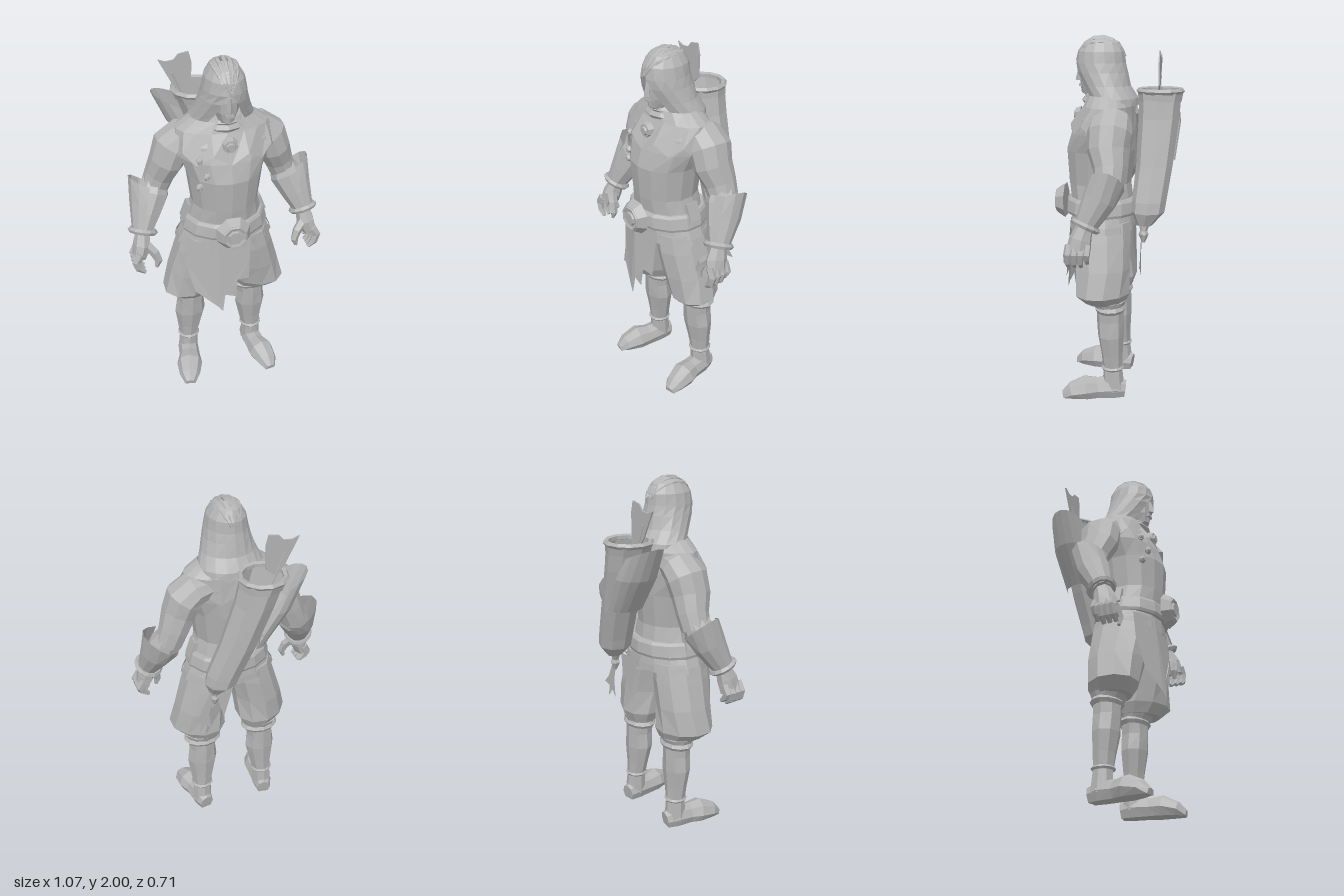
import * as THREE from 'three';

const TAU = Math.PI * 2;
const V = (x, y, z) => new THREE.Vector3(x, y, z);

// Skin over rings [x, y, z, halfWidth, halfDepth, opening]. flat: rings stay horizontal.
function loft(rings, n, { flat = false, ref = V(0, 0, 1), arc = [0, TAU], caps = true, lift = null } = {}) {
  const pos = [], index = [];
  const centres = rings.map(r => V(r[0], r[1], r[2]));
  const last = rings.length - 1;
  rings.forEach((r, j) => {
    const d = flat
      ? V(0, Math.sign(rings[last][1] - rings[0][1]), 0)
      : centres[Math.min(j + 1, last)].clone().sub(centres[Math.max(j - 1, 0)]).normalize();
    const u = d.clone().cross(ref).normalize();
    const v = u.clone().cross(d);
    const open = r[5] || 0;
    for (let i = 0; i <= n; i++) {
      const a = arc[0] + open + (arc[1] - arc[0] - 2 * open) * i / n;
      const p = centres[j].clone().addScaledVector(u, Math.sin(a) * r[3]).addScaledVector(v, Math.cos(a) * r[4]);
      if (lift) p.y += lift(a, j, i);
      pos.push(p.x, p.y, p.z);
    }
  });
  const w = n + 1;
  for (let j = 0; j < last; j++) for (let i = 0; i < n; i++) {
    const a = j * w + i, b = a + 1, c = a + w, e = c + 1;
    index.push(a, b, e, a, e, c);
  }
  if (caps) {
    const k = pos.length / 3;
    for (const j of [0, last]) pos.push(...centres[j].toArray());
    for (let i = 0; i < n; i++) {
      index.push(k, i + 1, i);
      index.push(k + 1, last * w + i, last * w + i + 1);
    }
  }
  const g = new THREE.BufferGeometry();
  g.setAttribute('position', new THREE.Float32BufferAttribute(pos, 3));
  g.setIndex(index);
  return g;
}

// Applies a rule to every vertex
function warp(g, rule) {
  const p = g.attributes.position;
  for (let i = 0; i < p.count; i++) {
    const q = V().fromBufferAttribute(p, i);
    rule(q);
    p.setXYZ(i, q.x, q.y, q.z);
  }
  return g;
}

// Low-poly ring around an axis, optionally squashed in depth
function ring(x, y, z, R, t, axis = V(0, 1, 0), squash = 1) {
  const g = new THREE.TorusGeometry(R, t, 5, 12);
  g.applyQuaternion(new THREE.Quaternion().setFromUnitVectors(V(0, 0, 1), axis.clone().normalize()));
  return g.scale(1, 1, squash).translate(x, y, z);
}

const disc = (x, y, z, r0, r1, h, n = 8) =>
  new THREE.CylinderGeometry(r0, r1, h, n).rotateY(Math.PI / n).rotateX(Math.PI / 2).translate(x, y, z);

const outline = pts => new THREE.Shape(pts.map(p => new THREE.Vector2(p[0], p[1])));
const sheet = pts => new THREE.ShapeGeometry(outline(pts));

export function createModel() {
  const group = new THREE.Group();
  const grey = new THREE.MeshStandardMaterial({ color: 0xb4b4b4, side: THREE.DoubleSide });
  grey.name = 'grey';

  function add(name, geo) {
    const g = geo.index ? geo.toNonIndexed() : geo;
    g.computeVertexNormals();
    const m = new THREE.Mesh(g, grey);
    m.name = name;
    group.add(m);
  }
  // Adds a left-side part and its mirrored twin
  function both(name, geo) {
    const g = geo.index ? geo.toNonIndexed() : geo;
    const mirror = g.clone();
    const s = g.attributes.position, t = mirror.attributes.position;
    for (let i = 0; i < s.count; i++) {
      const k = i % 3 === 1 ? i + 1 : i % 3 === 2 ? i - 1 : i;
      t.setXYZ(i, -s.getX(k), s.getY(k), s.getZ(k));
    }
    add(name + 'Left', g);
    add(name + 'Right', mirror);
  }

  // Torso with flared jacket hem
  add('torso', loft([
    [0, 0.96, 0.08, 0.262, 0.185], [0, 1.08, 0.085, 0.212, 0.175], [0, 1.2, 0.1, 0.182, 0.174],
    [0, 1.38, 0.095, 0.205, 0.19], [0, 1.48, 0.08, 0.245, 0.175], [0, 1.56, 0.062, 0.26, 0.158],
    [0, 1.62, 0.045, 0.24, 0.13], [0, 1.67, 0.045, 0.17, 0.11], [0, 1.69, 0.06, 0.09, 0.09]], 14, { flat: true }));
  add('jacketHem', loft([[0, 0.95, 0.08, 0.272, 0.19], [0, 0.985, 0.08, 0.262, 0.188]], 14, { flat: true, caps: false }));
  // Ragged shoulder mantle
  add('mantle', loft([[0, 1.68, 0.05, 0.17, 0.115], [0, 1.625, 0.047, 0.25, 0.138], [0, 1.5, 0.078, 0.272, 0.18]], 18,
    { flat: true, caps: false, lift: (a, j, i) => j === 2 ? (i % 2 ? 0.03 : -0.025) : 0 }));
  add('collar', ring(0, 1.65, 0.075, 0.105, 0.02));
  add('collarUpper', ring(0, 1.675, 0.08, 0.085, 0.016));
  add('broochRim', disc(0, 1.57, 0.218, 0.036, 0.046, 0.03));
  add('broochStone', disc(0, 1.57, 0.233, 0.02, 0.03, 0.02));
  [[-0.155, 1.5, 0.21], [-0.125, 1.42, 0.242], [-0.16, 1.35, 0.222]].forEach(([x, y, z]) =>
    add('chestStud', new THREE.IcosahedronGeometry(0.022, 0).translate(x, y, z)));

  // Belt and buckle
  add('belt', loft([[0, 1.03, 0.085, 0.236, 0.198], [0, 1.045, 0.085, 0.24, 0.205],
    [0, 1.105, 0.085, 0.225, 0.2], [0, 1.12, 0.085, 0.215, 0.188]], 14, { flat: true }));
  add('buckle', disc(0, 1.085, 0.318, 0.072, 0.1, 0.045));
  add('buckleRim', new THREE.TorusGeometry(0.06, 0.012, 5, 8).rotateZ(Math.PI / 8).translate(0, 1.085, 0.337));
  add('buckleBoss', disc(0, 1.085, 0.335, 0.035, 0.05, 0.03));
  both('beltPouch', new THREE.BoxGeometry(0.03, 0.1, 0.07).rotateZ(0.35).translate(0.205, 1.125, 0.08));

  // Torn cloth in front and tatters at the back
  add('frontCloth', warp(sheet([[-0.24, 1.0], [-0.08, 1.01], [0.11, 1.0], [0.105, 0.85], [0.1, 0.74], [0.03, 0.75],
    [0.02, 0.64], [-0.04, 0.66], [-0.055, 0.55], [-0.08, 0.58], [-0.2, 0.68], [-0.24, 0.85]]),
    p => { p.z = 0.265 + (1 - p.y) * 0.09 - p.x * p.x * 1.2; }));
  add('backCloth', warp(sheet([[0.02, 0.98], [0.18, 0.98], [0.16, 0.82], [0.12, 0.86], [0.09, 0.74], [0.06, 0.84]]),
    p => { p.z = -0.105 + (p.y - 0.98) * 0.02; }));
  add('ribbon', warp(sheet([[0.16, 0.96], [0.19, 0.95], [0.25, 0.82], [0.29, 0.78], [0.24, 0.77], [0.25, 0.7],
    [0.21, 0.75], [0.18, 0.71], [0.19, 0.82]]), p => { p.z = -0.15; }));

  // Trousers, boots and feet
  both('trouserLeg', warp(loft([[0.18, 0.555, 0.05, 0.11, 0.11], [0.197, 0.61, 0.06, 0.155, 0.146],
    [0.174, 0.75, 0.07, 0.142, 0.158], [0.138, 0.9, 0.078, 0.134, 0.166], [0.12, 1.0, 0.08, 0.12, 0.16]], 10, { flat: true }),
    p => { if (p.y < 0.7) p.z += (p.x - 0.2) * 0.18; }));
  both('kneeBand', ring(0.18, 0.52, 0.02, 0.092, 0.02, V(0, 1, 0), 0.78));
  both('kneeCuff', loft([[0.18, 0.53, 0.025, 0.095, 0.08], [0.18, 0.565, 0.03, 0.11, 0.1]], 10, { flat: true }));
  both('boot', loft([[0.2, 0.04, 0, 0.06, 0.062], [0.195, 0.16, 0.005, 0.055, 0.054], [0.19, 0.25, 0.01, 0.07, 0.06],
    [0.185, 0.36, 0.017, 0.09, 0.073], [0.183, 0.45, 0.02, 0.08, 0.076], [0.18, 0.53, 0.022, 0.086, 0.076]], 8, { flat: true }));
  both('ankleBand', ring(0.195, 0.17, 0.006, 0.054, 0.011));
  both('foot', warp(loft([[0.19, 0.04, -0.063, 0.042, 0.05], [0.2, 0.05, 0, 0.06, 0.065], [0.21, 0.045, 0.09, 0.062, 0.062],
    [0.225, 0.045, 0.155, 0.076, 0.074], [0.242, 0.03, 0.235, 0.06, 0.05], [0.25, 0.012, 0.28, 0.03, 0.02]], 8,
    { ref: V(0, 1, 0) }), p => { p.y = p.y < 0.015 ? 0 : p.y; }));

  // Arms
  both('upperArm', loft([[0.12, 1.56, 0.02, 0.07, 0.09], [0.21, 1.55, 0.01, 0.088, 0.11], [0.262, 1.505, 0.012, 0.1, 0.118],
    [0.292, 1.42, 0.018, 0.092, 0.11], [0.33, 1.33, 0, 0.08, 0.09], [0.362, 1.25, 0, 0.074, 0.08]], 10));
  both('forearm', loft([[0.35, 1.31, -0.01, 0.06, 0.07], [0.375, 1.23, 0.02, 0.09, 0.09],
    [0.42, 1.13, 0.07, 0.074, 0.074], [0.455, 1.04, 0.115, 0.05, 0.052]], 8));
  both('bracer', loft([[0.395, 1.26, 0.005, 0.105, 0.1], [0.415, 1.18, 0.045, 0.092, 0.09], [0.45, 1.06, 0.105, 0.062, 0.062]], 8,
    { caps: false, arc: [Math.PI * 0.55, Math.PI * 1.95], lift: (a, j) => j ? 0 : 0.06 * Math.max(0, Math.cos(a - Math.PI * 1.35)) }));
  both('bracelet', ring(0.453, 1.05, 0.11, 0.066, 0.016, V(0.25, -0.9, 0.4)));

  // Hands with curled fingers
  both('palm', loft([[0.455, 1.04, 0.115, 0.04, 0.045], [0.465, 0.98, 0.135, 0.05, 0.06], [0.487, 0.915, 0.145, 0.038, 0.066]], 7));
  for (let i = 0; i < 4; i++) {
    const z = 0.095 + i * 0.033, drop = i === 0 ? 0.02 : 0;
    both('finger', loft([[0.485, 0.955, z, 0.026, 0.02], [0.51, 0.91, z + 0.004, 0.027, 0.02],
      [0.498, 0.868 + drop, z + 0.006, 0.023, 0.018], [0.465, 0.838 + drop, z + 0.006, 0.012, 0.012]], 5));
  }
  both('thumb', loft([[0.45, 0.99, 0.15, 0.03, 0.028], [0.405, 0.94, 0.175, 0.027, 0.025],
    [0.387, 0.89, 0.185, 0.022, 0.02], [0.4, 0.85, 0.185, 0.01, 0.01]], 5));

  // Head in an open hood
  add('head', loft([[0, 1.6, 0.07, 0.07, 0.07], [0, 1.675, 0.1, 0.055, 0.075], [0, 1.69, 0.125, 0.045, 0.075],
    [0, 1.74, 0.12, 0.066, 0.088], [0, 1.8, 0.12, 0.072, 0.09], [0, 1.86, 0.11, 0.07, 0.09]], 10, { flat: true }));
  add('nose', loft([[0, 1.755, 0.208, 0.02, 0.024], [0, 1.775, 0.21, 0.015, 0.02], [0, 1.83, 0.205, 0.009, 0.01]], 4, { flat: true }));
  add('lips', new THREE.BoxGeometry(0.045, 0.014, 0.02).translate(0, 1.73, 0.202));
  add('hood', loft([[0, 1.625, 0.02, 0.18, 0.135, 0.75], [0, 1.665, 0.025, 0.176, 0.135, 0.62], [0, 1.73, 0.06, 0.148, 0.13, 0.48],
    [0, 1.8, 0.083, 0.126, 0.138, 0.33], [0, 1.85, 0.092, 0.114, 0.135, 0.1], [0, 1.91, 0.09, 0.102, 0.127],
    [0, 1.96, 0.087, 0.072, 0.095], [0, 1.988, 0.085, 0.025, 0.035]], 14,
    { flat: true, lift: (a, j, i) => j === 0 ? (i % 2 ? 0.012 : -0.01) : 0, caps: false }));
  for (let k = -2; k <= 2; k++) {
    const pts = [];
    for (let s = 0; s <= 7; s++) {
      const f = -1.5 + s * 0.4, drop = 0.006 * k * k;
      pts.push([k * 0.03 * Math.cos(f), 1.853 + (0.133 - drop) * Math.cos(f), 0.09 - 0.128 * Math.sin(f),
        0.012, 0.013 * Math.max(0.4, Math.cos(f))]);
    }
    add('hoodRidge', loft(pts, 5, { ref: V(1, 0, 0) }));
  }

  // Quiver slung across the back
  add('quiver', loft([[-0.08, 1.7, -0.225, 0.118, 0.118], [-0.04, 1.55, -0.22, 0.108, 0.112], [0.045, 1.3, -0.205, 0.1, 0.1],
    [0.115, 1.12, -0.185, 0.095, 0.094], [0.132, 1.06, -0.18, 0.09, 0.09], [0.158, 0.99, -0.165, 0.035, 0.04]], 8,
    { flat: true, caps: false }));
  add('quiverRim', ring(-0.08, 1.695, -0.225, 0.118, 0.016));
  add('quiverCollar', loft([[-0.068, 1.64, -0.224, 0.117, 0.119], [-0.08, 1.69, -0.225, 0.126, 0.126]], 8, { flat: true, caps: false }));
  add('quiverTip', loft([[0.15, 1.0, -0.165, 0.03, 0.03], [0.16, 0.96, -0.16, 0.02, 0.02], [0.16, 0.94, -0.16, 0.028, 0.028],
    [0.163, 0.895, -0.16, 0.008, 0.008]], 6, { flat: true }));
  add('quiverFlap', loft([[-0.19, 1.64, -0.222, 0.13, 0.1], [-0.12, 1.52, -0.22, 0.12, 0.118], [-0.01, 1.32, -0.21, 0.09, 0.105]], 8,
    { flat: true, caps: false, arc: [0, Math.PI], lift: (a, j) => j ? 0 : 0.06 * Math.sin(a) }));
  add('arrowShaft', loft([[-0.2, 1.8, -0.215, 0.009, 0.009], [-0.06, 1.45, -0.215, 0.009, 0.009]], 5));
  add('arrowFeathers', new THREE.ExtrudeGeometry(outline([[-0.275, 1.88], [-0.235, 1.865], [-0.19, 1.87], [-0.165, 1.9],
    [-0.11, 1.91], [-0.095, 1.85], [-0.1, 1.72], [-0.155, 1.67], [-0.2, 1.73]]),
    { depth: 0.008, bevelEnabled: false }).translate(0, 0, -0.219));
  return group;
}
